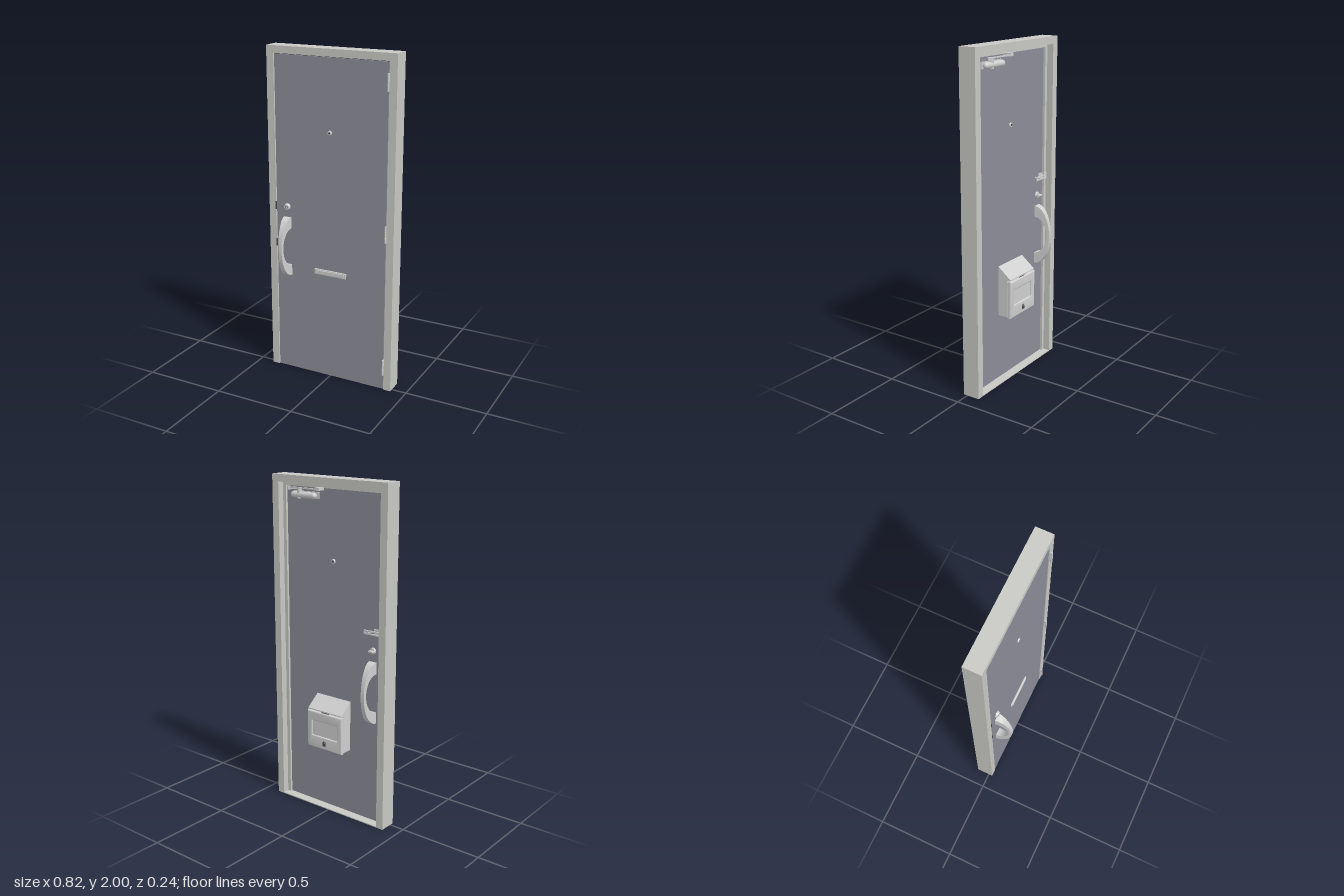
import * as THREE from 'three';
import { toCreasedNormals } from 'three/addons/utils/BufferGeometryUtils.js';
import { RoundedBoxGeometry } from 'three/addons/geometries/RoundedBoxGeometry.js';

const material = (name, color) => {
  const m = new THREE.MeshStandardMaterial({ color });
  m.name = name;
  return m;
};

export function createModel() {
  const root = new THREE.Group();
  root.name = 'frontDoor';
  const frameGrey = material('frameGrey', 0xc8c8c4);
  const doorGrey = material('doorGrey', 0x8c8c98);
  const steel = material('steel', 0xcfcfcf);
  const dark = material('darkMetal', 0x4a4a4c);

  const add = (name, geo, mat, x = 0, y = 0, z = 0, parent = root) => {
    const mesh = new THREE.Mesh(geo, mat);
    mesh.name = name;
    mesh.position.set(x, y, z);
    parent.add(mesh);
    return mesh;
  };
  // box given by its limits on each axis
  const box = (name, mat, x0, x1, y0, y1, z0, z1, parent = root) =>
    add(name, new THREE.BoxGeometry(x1 - x0, y1 - y0, z1 - z0), mat,
      (x0 + x1) / 2, (y0 + y1) / 2, (z0 + z1) / 2, parent);
  // disc or knob whose axis runs along z
  const disc = (name, mat, r0, r1, x, y, z0, z1, parent = root) =>
    add(name, new THREE.CylinderGeometry(r1, r0, z1 - z0, 24).rotateX(Math.PI / 2), mat,
      x, y, (z0 + z1) / 2, parent);
  const rounded = (name, mat, w, h, d, r, x, y, z, parent = root) =>
    add(name, new RoundedBoxGeometry(w, h, d, 3, r), mat, x, y, z, parent);

  // frame: an upside-down U, open at the floor
  const portal = (outX, outY, inX, inY, depth) => {
    const s = new THREE.Shape();
    [[-outX, 0], [-inX, 0], [-inX, inY], [inX, inY], [inX, 0], [outX, 0], [outX, outY], [-outX, outY]]
      .forEach(([x, y], i) => (i ? s.lineTo(x, y) : s.moveTo(x, y)));
    return new THREE.ExtrudeGeometry(s, { depth, bevelEnabled: false });
  };
  add('frame', portal(0.408, 2, 0.362, 1.957, 0.105), frameGrey, 0, 0, -0.08);
  add('doorStop', portal(0.363, 1.958, 0.34, 1.937, 0.014), frameGrey, 0, 0, -0.04);
  box('sill', frameGrey, -0.362, 0.362, 0, 0.006, -0.08, -0.025);

  // door leaf, with the dark gap around it
  box('doorLeaf', doorGrey, -0.358, 0.358, 0.003, 1.953, -0.025, 0.022);
  box('gapSeal', dark, -0.362, 0.362, 0.001, 1.957, -0.024, 0.012);

  // crescent pull handles, narrowing as they leave the door
  const crescent = new THREE.Shape();
  crescent.absellipse(0, 0, 0.098, 0.183, -Math.PI / 2, Math.PI / 2, false);
  crescent.lineTo(0, 0.115);
  crescent.absellipse(0, 0, 0.08, 0.115, Math.PI / 2, -Math.PI / 2, true);
  const handleGeo = new THREE.ExtrudeGeometry(crescent, { depth: 1, bevelEnabled: false, curveSegments: 24 });
  handleGeo.translate(0, 0, -0.5).rotateY(-Math.PI / 2);
  const p = handleGeo.attributes.position;
  for (let i = 0; i < p.count; i++) {
    p.setX(i, p.getX(i) * (0.051 - 0.029 * p.getZ(i) / 0.098));
  }
  const handle = toCreasedNormals(handleGeo, 0.6);
  add('frontHandle', handle, steel, -0.285, 0.808, 0.022);
  add('backHandle', handle, steel, -0.285, 0.808, -0.025).rotation.y = Math.PI;

  // lock cylinder outside, thumb turn inside
  disc('lockRing', steel, 0.021, 0.016, -0.285, 1.055, 0.022, 0.036);
  disc('lockCore', dark, 0.009, 0.009, -0.285, 1.055, 0.03, 0.037);
  disc('lockPlug', steel, 0.006, 0.006, -0.285, 1.055, 0.03, 0.039);
  disc('thumbTurnRose', steel, 0.016, 0.02, -0.285, 1.055, -0.034, -0.025);
  rounded('thumbTurn', steel, 0.034, 0.01, 0.022, 0.003, -0.285, 1.055, -0.043);
  for (const y of [1.055, 0.82]) box('boltPlate', dark, -0.366, -0.358, y - 0.024, y + 0.024, 0.015, 0.027);

  // peephole on both faces
  disc('peepholeFront', steel, 0.014, 0.011, 0, 1.53, 0.022, 0.03);
  disc('peepholeLensFront', dark, 0.006, 0.006, 0, 1.53, 0.028, 0.031);
  disc('peepholeBack', steel, 0.011, 0.014, 0, 1.53, -0.032, -0.025);
  disc('peepholeLensBack', dark, 0.007, 0.007, 0, 1.53, -0.033, -0.03);

  // hinges
  for (const y of [0.15, 0.985, 1.845]) {
    const hinge = new THREE.Group();
    hinge.name = 'hinge';
    root.add(hinge);
    box('hingeLeaf', steel, 0.3605, 0.3635, y - 0.05, y + 0.05, 0.015, 0.038, hinge);
    for (const k of [-1, 0, 1]) {
      add('knuckle', new THREE.CylinderGeometry(0.005, 0.005, 0.032, 12), steel, 0.362, y + k * 0.0335, 0.038, hinge);
    }
  }

  // letter plate
  rounded('letterPlate', steel, 0.21, 0.034, 0.01, 0.003, 0.004, 0.68, 0.025);
  rounded('letterFlap', steel, 0.19, 0.022, 0.006, 0.002, 0.004, 0.68, 0.03);

  // mail box inside: backing, sloped lid and a cover with a shallow recess
  const mail = new THREE.Group();
  mail.name = 'mailBox';
  root.add(mail);
  const side = new THREE.Shape();
  [[0.025, 0.41], [0.087, 0.41], [0.087, 0.64], [0.11, 0.64], [0.11, 0.647], [0.025, 0.715]]
    .forEach(([z, y], i) => (i ? side.lineTo(z, y) : side.moveTo(z, y)));
  const backing = new THREE.ExtrudeGeometry(side, { depth: 0.25, bevelEnabled: false });
  add('mailBacking', backing.translate(0, 0, -0.125).rotateY(Math.PI / 2), steel, 0, 0, 0, mail);
  const cover = new THREE.Shape();
  const rect = (s, x0, y0, x1, y1) => s.moveTo(x0, y0).lineTo(x1, y0).lineTo(x1, y1).lineTo(x0, y1).closePath();
  rect(cover, -0.122, 0.413, 0.122, 0.627);
  const recess = new THREE.Path();
  rect(recess, -0.1, 0.475, 0.1, 0.582);
  cover.holes.push(recess);
  const coverGeo = new THREE.ExtrudeGeometry(cover, {
    depth: 0.014, bevelThickness: 0.007, bevelSize: 0.007, bevelSegments: 3,
  });
  add('mailCover', toCreasedNormals(coverGeo, 0.7), steel, 0, 0, -0.108, mail);
  box('recessPanel', steel, -0.105, 0.105, 0.47, 0.587, -0.106, -0.09, mail);
  box('lidNotch', dark, -0.026, 0.026, 0.634, 0.639, -0.108, -0.086, mail);
  box('latchPlate', dark, -0.011, 0.011, 0.43, 0.449, -0.118, -0.114, mail);
  const shackle = new THREE.TorusGeometry(0.009, 0.003, 8, 14, Math.PI);
  add('latchLoop', shackle, dark, 0, 0.449, -0.115, mail);

  // door closer with folding arm
  const closer = new THREE.Group();
  closer.name = 'doorCloser';
  root.add(closer);
  box('closerPlate', steel, 0.1, 0.285, 1.872, 1.91, -0.032, -0.025, closer);
  const barrel = new THREE.CapsuleGeometry(0.019, 0.145, 6, 16).rotateZ(Math.PI / 2);
  add('closerBarrel', barrel, steel, 0.195, 1.89, -0.05, closer);
  add('closerSpindle', new THREE.CylinderGeometry(0.014, 0.014, 0.058, 16), steel, 0.225, 1.9, -0.052, closer);
  const arm = (x0, z0, x1, z1, y) => {
    const m = add('closerArm', new THREE.BoxGeometry(Math.hypot(x1 - x0, z1 - z0), 0.007, 0.012), steel,
      (x0 + x1) / 2, y, (z0 + z1) / 2, closer);
    m.rotation.y = -Math.atan2(z1 - z0, x1 - x0);
  };
  arm(0.225, -0.052, 0.283, -0.078, 1.925);
  arm(0.283, -0.079, 0.075, -0.079, 1.932);
  add('closerElbow', new THREE.CylinderGeometry(0.009, 0.009, 0.02, 16), steel, 0.283, 1.928, -0.079, closer);
  box('closerBracket', steel, 0.06, 0.09, 1.925, 1.942, -0.084, -0.035, closer);

  // swing guard by the lock side
  const guard = new THREE.Group();
  guard.name = 'swingGuard';
  root.add(guard);
  box('guardPlate', steel, -0.335, -0.295, 1.145, 1.185, -0.032, -0.025, guard);
  box('guardFramePlate', steel, -0.361, -0.335, 1.145, 1.185, -0.046, -0.038, guard);
  for (const y of [1.157, 1.173]) box('guardBar', steel, -0.345, -0.24, y - 0.004, y + 0.004, -0.054, -0.046, guard);
  box('guardEnd', steel, -0.247, -0.239, 1.153, 1.177, -0.054, -0.046, guard);
  disc('guardStud', steel, 0.006, 0.006, -0.27, 1.165, -0.058, -0.025, guard);

  return root;
}
